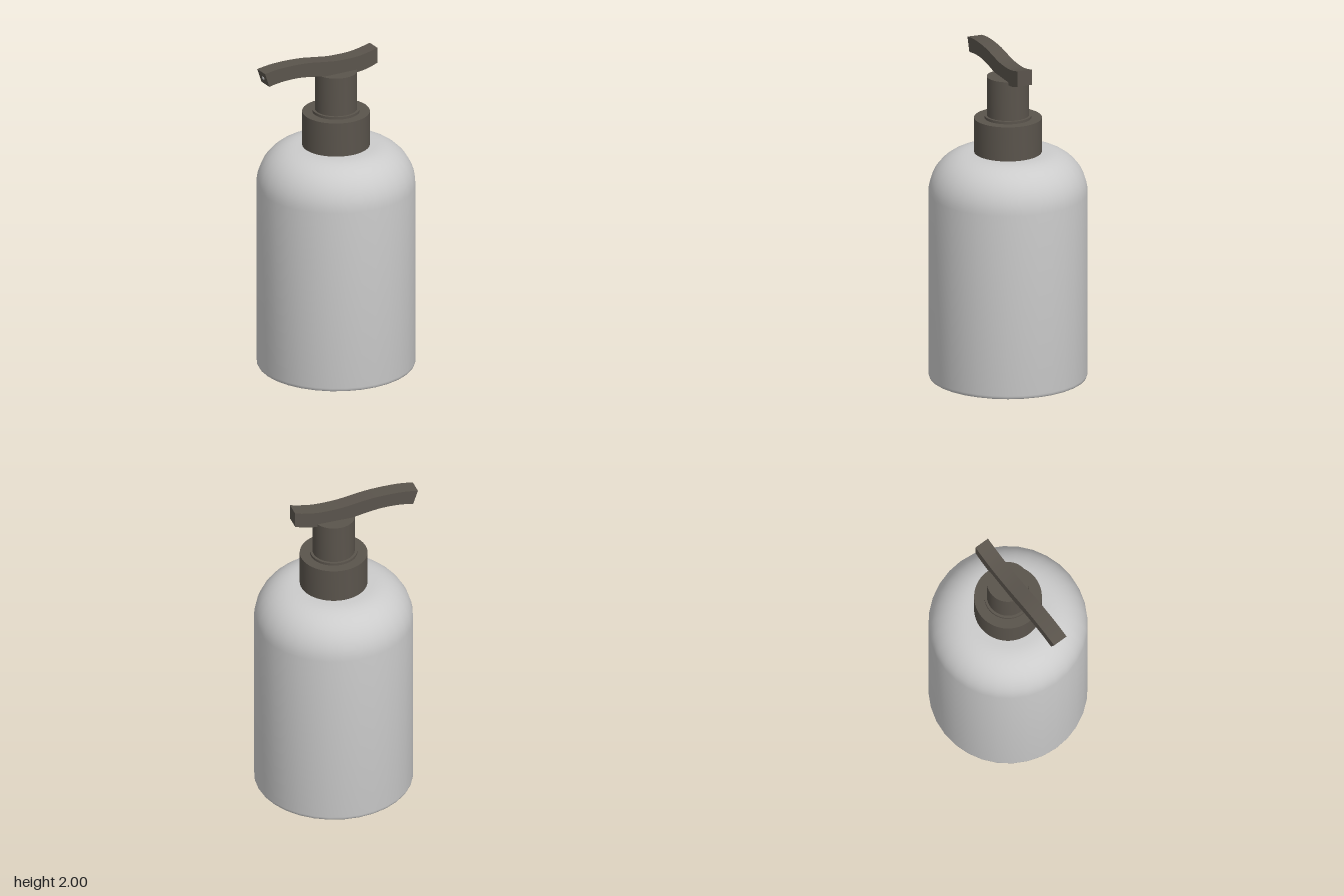
import * as THREE from 'three';
import { toCreasedNormals } from 'three/addons/utils/BufferGeometryUtils.js';

const AXIS_X = 0.018; // the bottle axis sits slightly off centre because of the long spout
const grey = new THREE.MeshStandardMaterial({ color: 0xcccccc });
const dark = new THREE.MeshStandardMaterial({ color: 0x5a544c });
const base = new THREE.MeshStandardMaterial({ color: 0x8a726c });

const vectors = (pairs) => pairs.map(([x, y]) => new THREE.Vector2(x, y));

function add(group, name, geometry, material) {
  const mesh = new THREE.Mesh(geometry, material);
  mesh.name = name;
  group.add(mesh);
  return mesh;
}

// Turned part with sharp edges kept, centred on the bottle axis
function turned(group, name, profile, segments, material) {
  const geometry = toCreasedNormals(new THREE.LatheGeometry(vectors(profile), segments), 0.7);
  const mesh = add(group, name, geometry, material);
  mesh.position.x = AXIS_X;
  return mesh;
}

export function createModel() {
  const group = new THREE.Group();
  group.name = 'pumpBottle';

  // Bottle: rounded foot, straight wall, quarter-round shoulder
  const profile = [[0.435, 0.012], [0.445, 0.002], [0.458, 0], [0.47, 0.004], [0.475, 0.012], [0.477, 0.024]];
  const steps = 12;
  for (let i = 0; i <= steps; i++) {
    const a = (i / steps) * Math.PI / 2;
    profile.push([0.237 + 0.24 * Math.cos(a), 1.155 + 0.257 * Math.sin(a)]);
  }
  profile.push([0.1, 1.412]);
  turned(group, 'bottle', profile, 32, grey);

  // Slightly recessed underside
  const underside = add(group, 'underside', new THREE.CircleGeometry(0.436, 32), base);
  underside.rotation.x = Math.PI / 2;
  underside.position.set(AXIS_X, 0.012, 0);

  // Pump: collar, thin ring and stem
  turned(group, 'collar', [[0, 1.405], [0.203, 1.405], [0.203, 1.626], [0, 1.626]], 64, dark);
  turned(group, 'collarRing', [[0.142, 1.62], [0.142, 1.642], [0.12, 1.642]], 64, dark);
  turned(group, 'stem', [[0.127, 1.63], [0.127, 1.885], [0, 1.885]], 64, dark);

  // Curved handle with the spout at its long end
  const top = [[-0.5, 1.985], [-0.416, 1.997], [-0.31, 2], [-0.2, 1.995], [-0.098, 1.981],
    [0, 1.969], [0.125, 1.968], [0.21, 1.98], [0.278, 1.996]];
  const bottom = [[0.278, 1.9], [0.22, 1.881], [0.14, 1.868], [0, 1.873], [-0.098, 1.887],
    [-0.18, 1.902], [-0.28, 1.913], [-0.39, 1.91], [-0.47, 1.897]];
  const outline = [top, bottom].flatMap((side) => new THREE.SplineCurve(vectors(side)).getPoints(24));
  const width = 0.094;
  const handle = new THREE.ExtrudeGeometry(new THREE.Shape(outline), { depth: width, bevelEnabled: false });
  handle.translate(0, 0, -width / 2);
  add(group, 'handle', toCreasedNormals(handle, 0.6), dark);

  // Small outlet on the slanted spout end
  const outlet = add(group, 'outlet', new THREE.CylinderGeometry(0.012, 0.012, 0.006, 16), grey);
  outlet.position.set(-0.485, 1.941, 0);
  outlet.rotation.z = Math.PI / 2 + Math.atan2(0.03, 0.088);

  return group;
}
